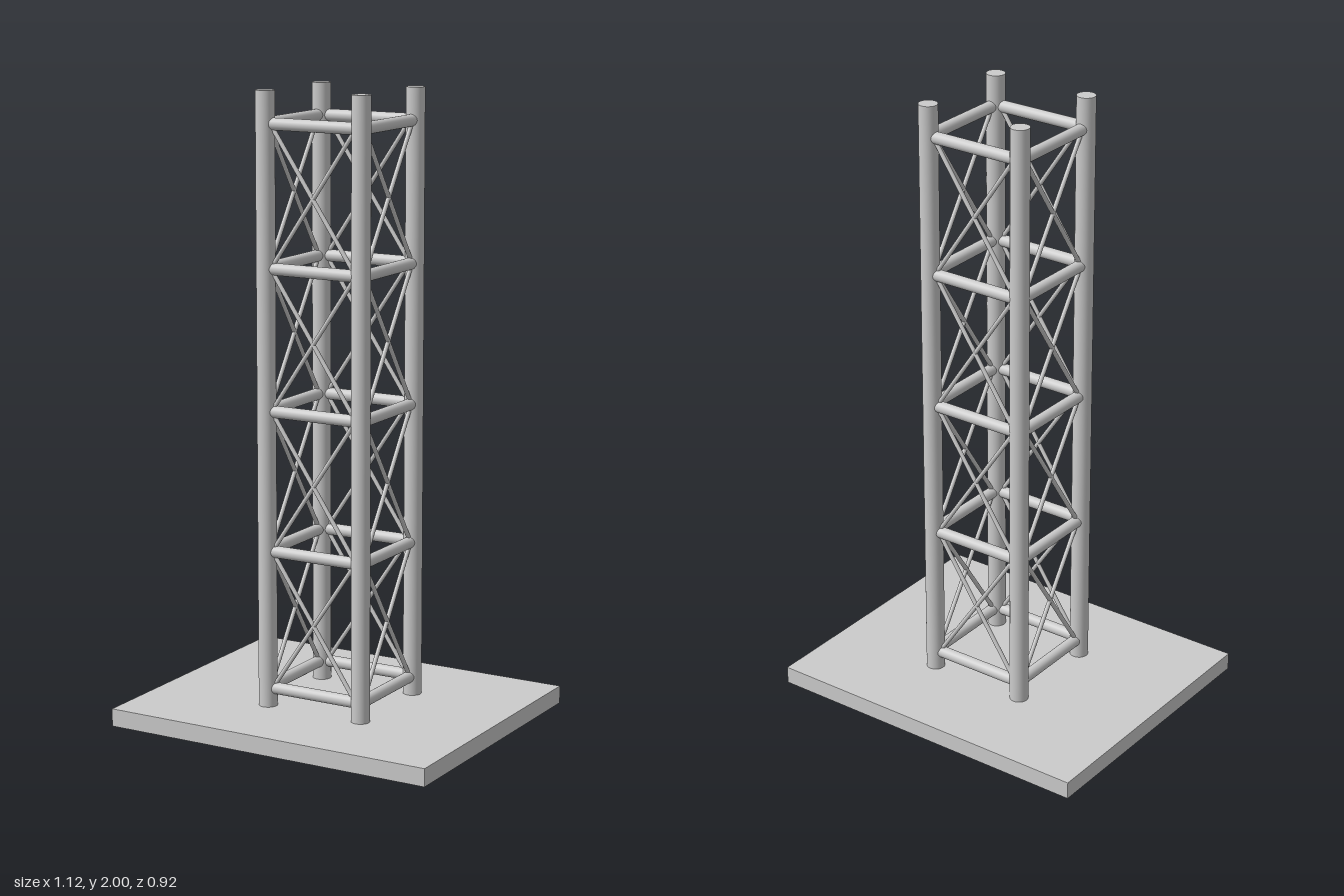
import * as THREE from 'three';

const material = new THREE.MeshStandardMaterial({ color: 0xcccccc });
const CX = 0.011, CZ = 0.008; // tower axis, slightly off the plate centre
const HALF = 0.168;           // half spacing of the posts
const REACH = 0.15;           // half width covered by the diagonals
const PLATE = 0.057;
const LEVELS = [0.116, 0.561, 1.008, 1.454, 1.898];

// Round bar between two points
function bar(name, a, b, radius, sides = 24) {
  const dir = new THREE.Vector3().subVectors(b, a);
  const mesh = new THREE.Mesh(new THREE.CylinderGeometry(radius, radius, dir.length(), sides), material);
  mesh.name = name;
  mesh.position.addVectors(a, b).multiplyScalar(0.5);
  mesh.quaternion.setFromUnitVectors(new THREE.Vector3(0, 1, 0), dir.normalize());
  return mesh;
}

// One side of the tower: five rails with crossed braces between them
function trussSide() {
  const side = new THREE.Group();
  side.name = 'trussSide';
  const p = (x, y) => new THREE.Vector3(x, y, HALF);
  LEVELS.forEach((y, i) => {
    side.add(bar('rail', p(-HALF, y), p(HALF, y), 0.019));
    if (i === 0) return;
    for (const s of [-1, 1]) {
      side.add(bar('diagonalBrace', p(-s * REACH, LEVELS[i - 1]), p(s * REACH, y), 0.007, 12));
    }
  });
  return side;
}

export function createModel() {
  const model = new THREE.Group();
  model.name = 'trussTower';

  // Base plate
  const plate = new THREE.Mesh(new THREE.BoxGeometry(1.12, PLATE, 0.924), material);
  plate.name = 'basePlate';
  plate.position.y = PLATE / 2;
  model.add(plate);

  const tower = new THREE.Group();
  tower.name = 'tower';
  tower.position.set(CX, 0, CZ);
  model.add(tower);

  // Corner posts
  for (const x of [-HALF, HALF]) {
    for (const z of [-HALF, HALF]) {
      tower.add(bar('cornerPost', new THREE.Vector3(x, PLATE, z), new THREE.Vector3(x, 2, z), 0.03, 32));
    }
  }

  // Four braced sides
  for (let i = 0; i < 4; i++) {
    const side = trussSide();
    side.rotation.y = i * Math.PI / 2;
    tower.add(side);
  }
  return model;
}
